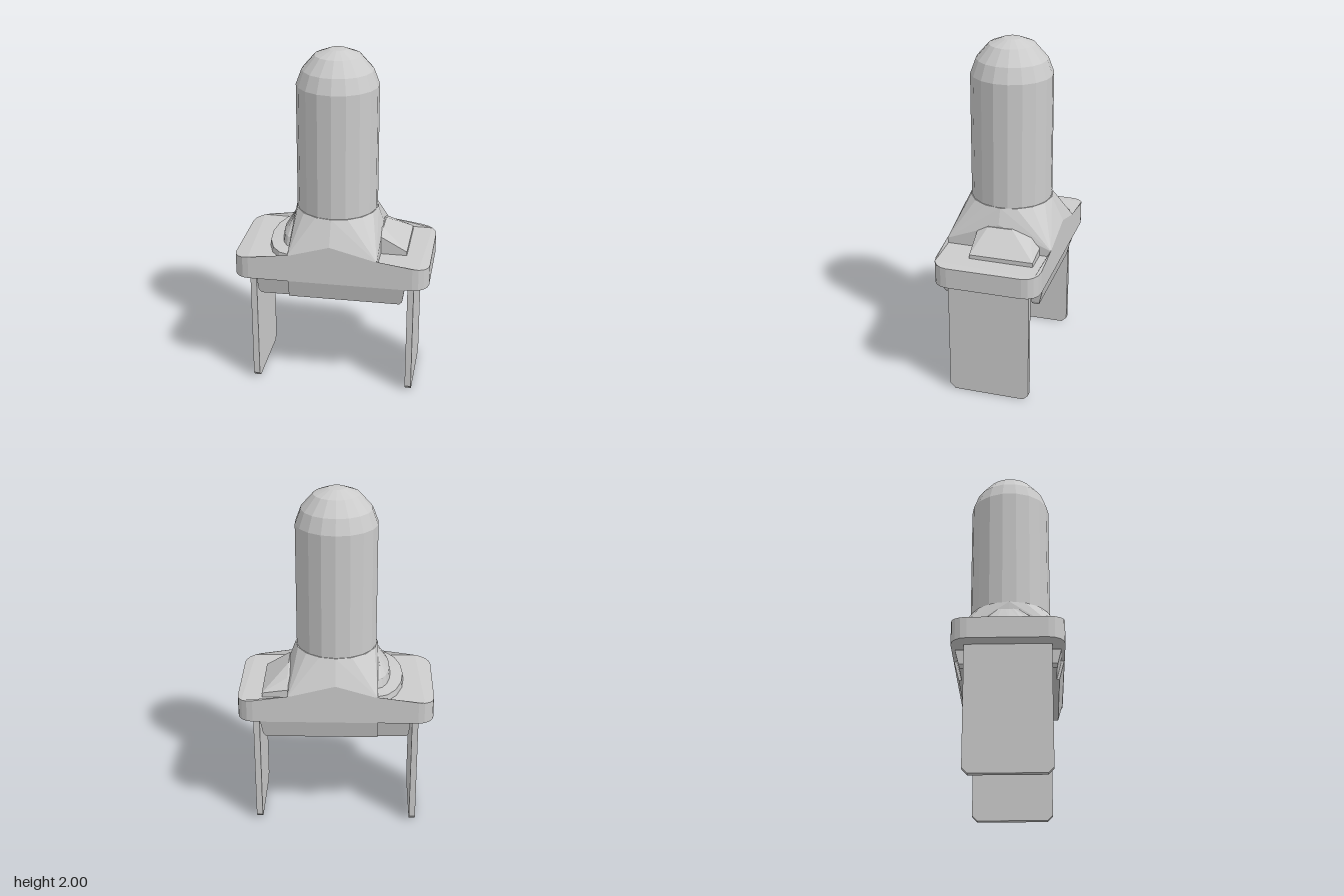
import * as THREE from 'three';
import { ConvexGeometry } from 'three/addons/geometries/ConvexGeometry.js';

const material = new THREE.MeshStandardMaterial({ color: 0xcccccc, flatShading: true, side: THREE.DoubleSide });

function add(parent, name, geometry) {
  const mesh = new THREE.Mesh(geometry, material);
  mesh.name = name;
  parent.add(mesh);
  return mesh;
}

// Joins closed rings of [x, y, z] points, listed from bottom to top
function loft(rings) {
  const pos = [];
  for (let r = 0; r < rings.length - 1; r++) {
    const low = rings[r], up = rings[r + 1], n = low.length;
    for (let i = 0; i < n; i++) {
      const j = (i + 1) % n;
      pos.push(...low[i], ...up[i], ...up[j], ...low[i], ...up[j], ...low[j]);
    }
  }
  const g = new THREE.BufferGeometry();
  g.setAttribute('position', new THREE.Float32BufferAttribute(pos, 3));
  g.computeVertexNormals();
  return g;
}

function polygon(points, depth) {
  const shape = new THREE.Shape(points.map(p => new THREE.Vector2(...p)));
  return new THREE.ExtrudeGeometry(shape, { depth, bevelEnabled: false });
}

// Rounded plate whose top rises gently towards the middle
function plateGeometry() {
  const X = 0.56, Z = 0.305, r = 0.09, pts = [];
  const corner = (sx, sz, from) => {
    for (let i = 0; i <= 4; i++) {
      const a = from + i * Math.PI / 8;
      pts.push([sx * (X - r) + r * Math.cos(a), sz * (Z - r) + r * Math.sin(a)]);
    }
  };
  corner(1, 1, 0);
  pts.push([0.27, Z], [-0.24, Z]);
  corner(-1, 1, Math.PI / 2);
  corner(-1, -1, Math.PI);
  pts.push([-0.24, -Z], [0.27, -Z]);
  corner(1, -1, Math.PI * 1.5);
  const g = polygon(pts, 0.12).rotateX(-Math.PI / 2).translate(0, 0.71, 0);
  const p = g.attributes.position;
  for (let i = 0; i < p.count; i++) {
    if (p.getY(i) > 0.8) p.setY(i, 0.83 + 0.045 * Math.min(1, (X - Math.abs(p.getX(i))) / 0.3));
  }
  g.computeVertexNormals();
  return g;
}

// Square-to-round shoulder: each corner fans out to a quarter of the collar
function shoulderGeometry() {
  const corners = [[0.27, 0.305], [-0.24, 0.305], [-0.24, -0.305], [0.27, -0.305]];
  const mids = [[0, 0.94, 0.305], [-0.24, 1.03, 0], [0, 0.94, -0.305], [0.27, 0.99, 0]];
  const foot = [], rim = [], collar = [], cap = [];
  corners.forEach(([x, z], q) => {
    for (let i = 0; i <= 5; i++) {
      const a = (q + Math.min(i, 4) / 4) * Math.PI / 2;
      const edge = i < 5 ? [x, 0.87, z] : mids[q];
      rim.push(edge);
      foot.push([edge[0], 0.75, edge[2]]);
      collar.push([0.237 * Math.cos(a), 1.08, 0.237 * Math.sin(a)]);
      cap.push([0, 1.085, 0]);
    }
  });
  return loft([foot, rim, collar, cap]);
}

// Half-ellipse ring bulging towards -x from the shoulder side
function halfRing(rx, rz, y) {
  const ring = [];
  for (let i = 0; i <= 8; i++) {
    const a = Math.PI / 2 + i * Math.PI / 8;
    ring.push([-0.235 + rx * Math.cos(a), y, rz * Math.sin(a)]);
  }
  return ring;
}

// Lower rail piece with an outer face that leans inwards
function railGeometry(points, outer) {
  const g = polygon(points, outer - 0.235).translate(0, 0, 0.235);
  const p = g.attributes.position;
  for (let i = 0; i < p.count; i++) {
    if (p.getZ(i) > 0.25) p.setZ(i, outer - 0.03 * (0.72 - p.getY(i)) / 0.12);
  }
  g.computeVertexNormals();
  return g;
}

export function createModel() {
  const model = new THREE.Group();
  model.name = 'plungerSwitch';

  add(model, 'basePlate', plateGeometry());
  add(model, 'shoulder', shoulderGeometry());

  // Round-ended post
  const profile = [[0.232, 1.06], [0.232, 1.8], [0.2, 1.885], [0.13, 1.965], [0.05, 1.997], [0, 2]];
  add(model, 'post', new THREE.LatheGeometry(profile.map(p => new THREE.Vector2(...p)), 18));

  // Stepped bulges on one side of the shoulder
  add(model, 'lowerStep', loft([halfRing(0.155, 0.3, 0.84), halfRing(0.15, 0.295, 0.875), halfRing(0, 0, 0.89)]));
  add(model, 'upperStep', loft([halfRing(0.08, 0.21, 0.87), halfRing(0.07, 0.19, 0.93), halfRing(0, 0.06, 1.04)]));

  // Sloping hump on the other side
  const hump = [];
  for (const [z, y] of [[0.125, 0.94], [0.06, 0.975], [-0.08, 0.975], [-0.19, 0.935], [-0.24, 0.88]]) {
    hump.push(new THREE.Vector3(0.24, 0.8, z), new THREE.Vector3(0.24, y, z), new THREE.Vector3(0.275, y, z),
      new THREE.Vector3(0.42, 0.86, z), new THREE.Vector3(0.42, 0.8, z));
  }
  add(model, 'hump', new ConvexGeometry(hump));

  // Legs with clipped lower corners
  const leg = [[-0.235, 0.72], [-0.235, 0.03], [-0.205, 0], [0.205, 0], [0.235, 0.03], [0.235, 0.72]];
  for (const side of [-1, 1]) {
    const g = polygon(leg, 0.036).translate(0, 0, -0.018).rotateY(Math.PI / 2);
    add(model, side > 0 ? 'leftLeg' : 'rightLeg', g).position.x = side * 0.457;
  }

  // Rails under the front and back edges, leaving a channel between
  for (const side of [1, -1]) {
    const rail = new THREE.Group();
    rail.name = side > 0 ? 'frontRail' : 'backRail';
    add(rail, 'railBody', railGeometry([[-0.24, 0.72], [-0.24, 0.6], [0.4, 0.6], [0.415, 0.62], [0.43, 0.72]], 0.305));
    add(rail, 'railTip', railGeometry([[-0.425, 0.7], [-0.42, 0.62], [-0.405, 0.6], [-0.24, 0.6], [-0.24, 0.7]], 0.29));
    rail.scale.z = side;
    model.add(rail);
  }
  return model;
}
